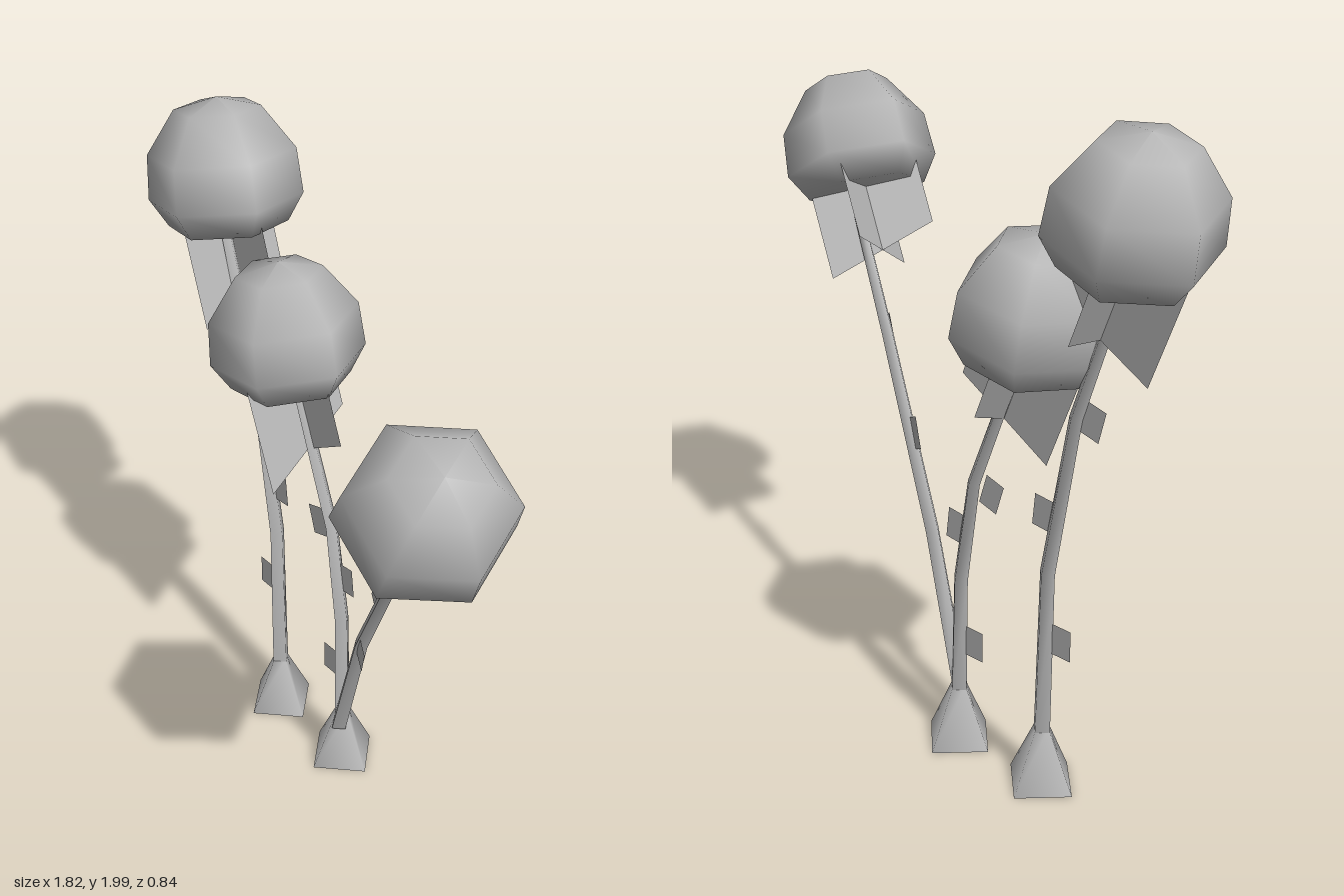
import * as THREE from 'three';

const V = (a) => new THREE.Vector3(...a);
const UP = new THREE.Vector3(0, 1, 0);

// Four-sided stem: a tapered cylinder whose rings follow a path of points
function stemGeometry(path, r0, r1) {
  const n = path.length - 1;
  const geo = new THREE.CylinderGeometry(r1, r0, 1, 4, n);
  const pos = geo.attributes.position;
  for (let i = 0; i < pos.count; i++) {
    const p = path[Math.round((pos.getY(i) + 0.5) * n)];
    pos.setXYZ(i, pos.getX(i) + p[0], p[1], pos.getZ(i) + p[2]);
  }
  geo.computeVertexNormals();
  return geo;
}

// Flat card through a centre, spanned by a half-width and a length vector
function cardGeometry(c, half, along) {
  const geo = new THREE.PlaneGeometry(2, 1);
  const pos = geo.attributes.position;
  for (let i = 0; i < 4; i++) {
    const p = c.clone().addScaledVector(half, pos.getX(i)).addScaledVector(along, pos.getY(i) + 0.5);
    pos.setXYZ(i, p.x, p.y, p.z);
  }
  geo.computeVertexNormals();
  return geo;
}

export function createModel() {
  const model = new THREE.Group();
  const grey = new THREE.MeshStandardMaterial({ color: 0xb4b4b4 });
  grey.name = 'grey';
  grey.side = THREE.DoubleSide;
  const add = (parent, name, geo) => {
    const mesh = new THREE.Mesh(geo, grey);
    mesh.name = name;
    parent.add(mesh);
    return mesh;
  };

  // Rounded six-sided head with a flat underside
  const headGeo = new THREE.LatheGeometry(
    [[0, -0.17], [0.175, -0.17], [0.225, -0.09], [0.215, 0.04], [0.125, 0.165], [0, 0.195]]
      .map((p) => new THREE.Vector2(...p)), 6);

  const plants = [
    {
      name: 'tallPlant',
      path: [[-0.385, 0.15, -0.16], [-0.4, 0.69, -0.165], [-0.49, 1.18, -0.17], [-0.68, 1.7, -0.19]],
      head: [-0.7, 1.8, -0.217], tilt: [-0.2, 1, -0.06], spin: 0.3,
      card: [-0.585, 1.43, -0.2], cardAxis: [-0.37, 0.93, -0.03],
      halves: [[0.15, 0.085, 0], [0.03, -0.04, 0.16]],
      leaves: [[-0.453, 0.49, -0.165, 0], [-0.38, 0.865, -0.165, 0.1], [-0.545, 1.185, -0.17, 0.25]],
      turn: 0,
    },
    {
      name: 'middlePlant',
      path: [[-0.065, 0.15, -0.16], [-0.08, 0.55, -0.165], [-0.13, 0.87, -0.165], [-0.32, 1.36, -0.165]],
      head: [-0.347, 1.455, -0.165], tilt: [-0.15, 1, 0], spin: Math.PI / 6,
      card: [-0.235, 1.095, -0.16], cardAxis: [-0.37, 0.93, 0],
      halves: [[0.15, 0.09, 0], [0.04, -0.07, 0.16]],
      leaves: [[-0.13, 0.35, -0.165, 0], [-0.062, 0.71, -0.165, 0.12], [-0.195, 0.855, -0.165, 0.3]],
      turn: 0,
    },
    {
      name: 'leaningPlant',
      path: [[-0.055, 0.14, -0.14], [0.1, 0.61, -0.095], [0.375, 1.12, 0.01], [0.64, 1.5, 0.13]],
      head: [0.705, 1.605, 0.22], tilt: [0.5, 0.85, 0.25], spin: 0.4,
      card: [0.48, 1.33, 0.1], cardAxis: [0.55, 0.8, 0.22],
      halves: [[0.09, -0.08, -0.12], [0.03, -0.08, 0.12]],
      leaves: [[0.137, 0.61, -0.06, -0.35], [0.205, 0.875, -0.055, -0.45], [0.408, 1.11, 0.05, -0.55]],
      turn: -0.45,
    },
  ];

  for (const p of plants) {
    const plant = new THREE.Group();
    plant.name = p.name;
    add(plant, 'stem', stemGeometry(p.path, 0.03, 0.018));

    const head = add(plant, 'head', headGeo);
    head.position.set(...p.head);
    head.quaternion.setFromUnitVectors(UP, V(p.tilt).normalize());
    head.rotateY(p.spin);

    // Crossed cards hanging under the head
    const along = V(p.cardAxis).setLength(0.36);
    for (const h of p.halves) add(plant, 'skirtCard', cardGeometry(V(p.card), V(h), along));

    // Small square leaves alternating along the stem
    for (const [x, y, z, lean] of p.leaves) {
      const leaf = add(plant, 'leaf', new THREE.PlaneGeometry(0.065, 0.095));
      leaf.position.set(x, y, z);
      leaf.rotation.set(0, p.turn, lean, 'YXZ');
    }
    model.add(plant);
  }

  // Open pyramid feet; the middle and leaning stems share one
  for (const x of [-0.385, -0.065]) {
    const foot = add(model, 'foot', new THREE.CylinderGeometry(0.025, 0.116, 0.19, 4, 1, true));
    foot.position.set(x, 0.095, -0.16);
  }
  return model;
}
